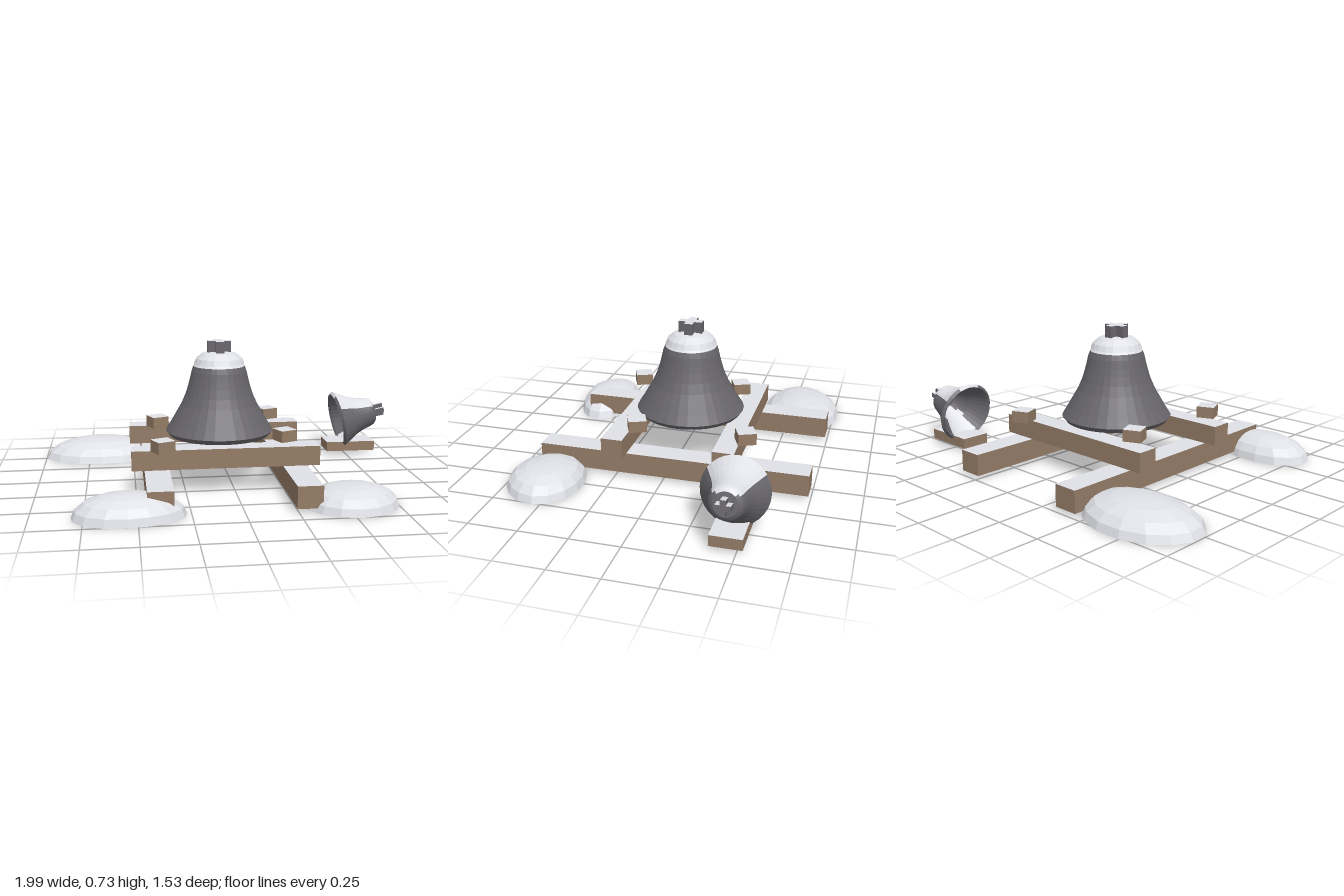
import * as THREE from 'three';

const mat = (name, color, flatShading = true) => {
  const m = new THREE.MeshStandardMaterial({ color, flatShading });
  m.name = name;
  return m;
};

// Builds a mesh whose upward faces carry snow and whose other faces carry the base material
function snowTopped(name, geometry, matrix, base, snow, limit = 0.6) {
  const src = geometry.index ? geometry.toNonIndexed() : geometry;
  src.applyMatrix4(matrix);
  const p = src.attributes.position;
  const sides = [], tops = [];
  const tri = new THREE.Triangle(), n = new THREE.Vector3();
  for (let i = 0; i < p.count; i += 3) {
    tri.setFromAttributeAndIndices(p, i, i + 1, i + 2);
    if (tri.getArea() < 1e-9) continue;
    tri.getNormal(n);
    const list = n.y > limit ? tops : sides;
    for (const v of [tri.a, tri.b, tri.c]) list.push(v.x, v.y, v.z);
  }
  const g = new THREE.BufferGeometry();
  g.setAttribute('position', new THREE.Float32BufferAttribute([...sides, ...tops], 3));
  g.addGroup(0, sides.length / 3, 0);
  g.addGroup(sides.length / 3, tops.length / 3, 1);
  g.computeVertexNormals();
  const mesh = new THREE.Mesh(g, [base, snow]);
  mesh.name = name;
  return mesh;
}

const lathe = (pts, segments) =>
  new THREE.LatheGeometry(pts.map(([r, y]) => new THREE.Vector2(r, y)), segments);

// Plus-shaped crown on top of a bell
function crownGeometry() {
  const a = 0.062, b = 0.022;
  const s = new THREE.Shape([
    [-b, -a], [b, -a], [b, -b], [a, -b], [a, b], [b, b],
    [b, a], [-b, a], [-b, b], [-a, b], [-a, -b], [-b, -b],
  ].map(([x, y]) => new THREE.Vector2(x, y)));
  const g = new THREE.ExtrudeGeometry(s, { depth: 0.105, bevelEnabled: false });
  return g.rotateX(-Math.PI / 2).translate(0, 0.395, 0);
}

// Hollow bell standing on its mouth: inside wall, lip, outside wall, shoulder
const BELL = [
  [0, 0.355], [0.09, 0.345], [0.125, 0.27], [0.155, 0.19], [0.205, 0.1], [0.245, 0.02], [0.265, 0],
  [0.285, 0.025], [0.258, 0.068], [0.23, 0.117], [0.202, 0.165], [0.18, 0.215], [0.165, 0.262],
  [0.155, 0.3], [0.146, 0.34], [0.136, 0.368], [0.125, 0.382], [0.1, 0.402], [0, 0.41],
];

function bell(name, matrix, metal, snow) {
  const g = new THREE.Group();
  g.name = name;
  g.add(snowTopped(name + 'Body', lathe(BELL, 32), matrix, metal, snow));
  g.add(snowTopped(name + 'Crown', crownGeometry(), matrix, metal, snow));
  return g;
}

// Low faceted heap of snow with a flat base
function mound(x, z, rx, rz, h, phase, snow) {
  const pts = [[0, 0], [1, 0], [0.94, 0.34], [0.78, 0.66], [0.5, 0.89], [0.22, 0.98], [0, 1]];
  const g = lathe(pts, 15);
  const p = g.attributes.position;
  for (let i = 0; i < p.count; i++) {
    const a = Math.atan2(p.getZ(i), p.getX(i));
    const k = 1 + 0.025 * Math.sin(3 * a + phase);
    p.setXYZ(i, p.getX(i) * k * rx, p.getY(i) * h, p.getZ(i) * k * rz);
  }
  const mesh = new THREE.Mesh(g, snow);
  mesh.position.set(x, 0, z);
  mesh.name = 'snowMound';
  return mesh;
}

export function createModel() {
  const model = new THREE.Group();
  model.name = 'snowyBells';
  const wood = mat('wood', 0x947c66);
  const metal = mat('bellMetal', 0x68666b);
  const snow = mat('snow', 0xe6e8ee);

  const box = (name, w, h, d, x, y, z, turn = 0) => {
    const m = new THREE.Matrix4().makeRotationY(turn).setPosition(x, y, z);
    model.add(snowTopped(name, new THREE.BoxGeometry(w, h, d), m, wood, snow));
  };

  // Timber frame
  for (const x of [-0.395, 0.303]) box('rail', 0.125, 0.11, 1.395, x, 0.075, -0.042);
  for (const z of [-0.325, 0.245]) box('crossBeam', 0.95, 0.1, 0.11, -0.045, 0.18, z);

  // Turned wedge blocks around the bell
  for (const [x, z] of [[-0.365, -0.248], [0.273, -0.405], [0.273, 0.16], [-0.365, 0.325]])
    box('wedgeBlock', 0.092, 0.06, 0.092, x, 0.26, z, 0.4);

  // Standing bell with its snow cap
  const upright = new THREE.Matrix4().makeTranslation(-0.045, 0.23, -0.04);
  model.add(bell('mainBell', upright, metal, snow));
  const cap = new THREE.Mesh(
    lathe([[0.12, 0.378], [0.134, 0.38], [0.122, 0.408], [0.09, 0.434], [0.05, 0.443], [0, 0.445]], 20), snow);
  cap.applyMatrix4(upright);
  cap.name = 'snowCap';
  model.add(cap);

  // Small bell lying on a plank
  box('plank', 0.285, 0.055, 0.155, 0.778, 0.048, -0.452);
  const lying = new THREE.Matrix4().compose(
    new THREE.Vector3(0.703, 0.195, -0.45),
    new THREE.Quaternion().setFromEuler(new THREE.Euler(0, 0, THREE.MathUtils.degToRad(-78))),
    new THREE.Vector3(0.58, 0.58, 0.58));
  model.add(bell('smallBell', lying, metal, snow));

  // Snow heaps
  model.add(mound(-0.68, -0.55, 0.32, 0.22, 0.11, 0, snow));
  model.add(mound(-0.545, 0.6, 0.27, 0.165, 0.115, 1.6, snow));
  model.add(mound(0.525, 0.56, 0.237, 0.195, 0.108, 3.1, snow));
  return model;
}
